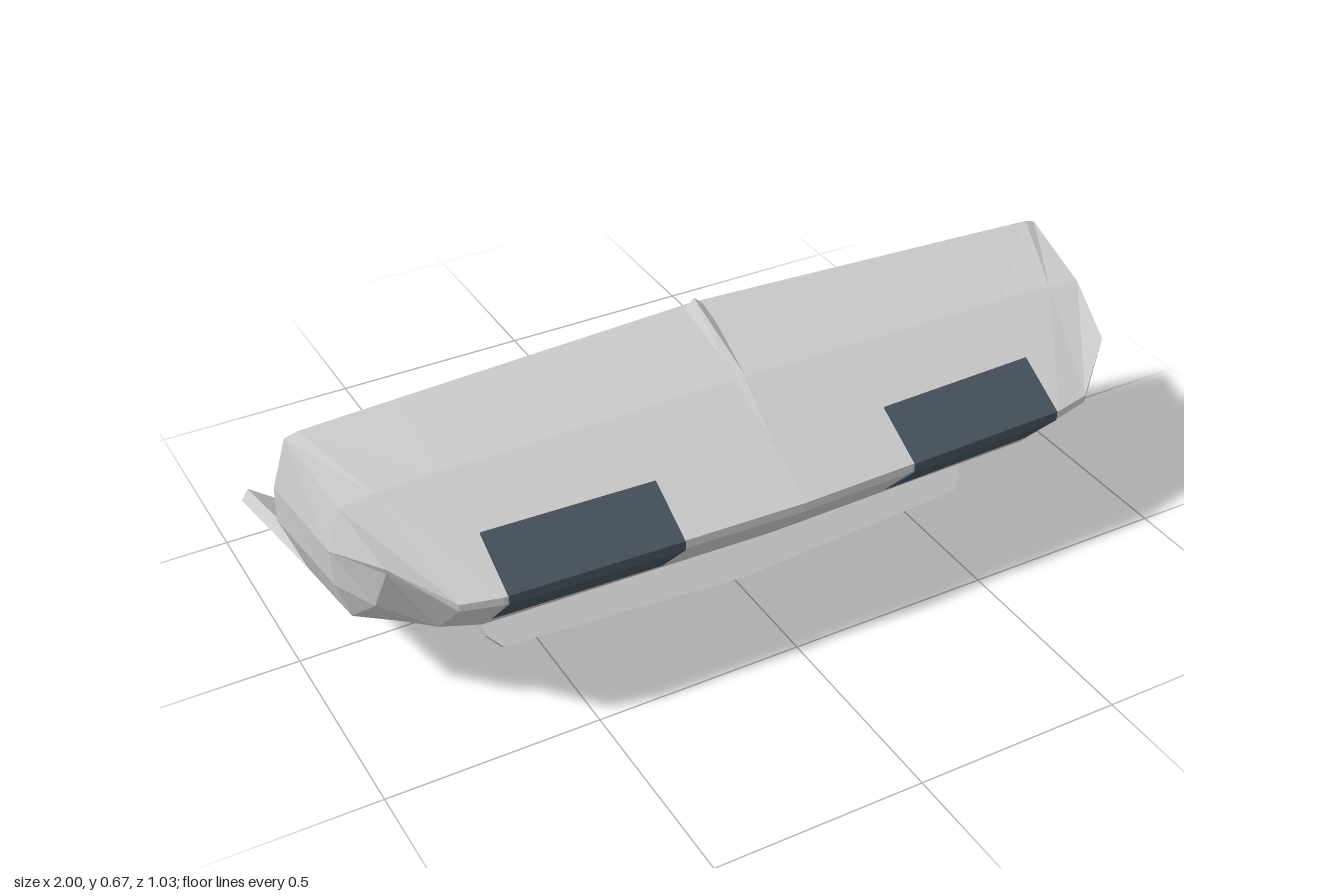
import * as THREE from 'three';
import { mergeVertices } from 'three/addons/utils/BufferGeometryUtils.js';

const grey = new THREE.MeshStandardMaterial({ color: 0xcccccc, flatShading: true, side: THREE.DoubleSide });
const glass = new THREE.MeshStandardMaterial({ color: 0x45515d, flatShading: true });

function geometry(points, index) {
  const g = new THREE.BufferGeometry();
  g.setAttribute('position', new THREE.Float32BufferAttribute(points.flat(), 3));
  g.setIndex(index);
  g.computeVertexNormals();
  return g;
}

// Turns an open surface into a wall: inner skin plus strips along all open edges
function thicken(surface, t) {
  surface.deleteAttribute('normal');
  const g = mergeVertices(surface, 1e-4);
  const raw = [...g.index.array], idx = [];
  for (let i = 0; i < raw.length; i += 3) {
    const [a, b, c] = raw.slice(i, i + 3);
    if (a !== b && b !== c && c !== a) idx.push(a, b, c);
  }
  g.setIndex(idx);
  g.computeVertexNormals();
  const p = g.attributes.position, n = g.attributes.normal, count = p.count;
  const outer = [], inner = [], edges = new Set(), all = [...idx];
  for (let i = 0; i < count; i++) {
    const v = new THREE.Vector3().fromBufferAttribute(p, i);
    outer.push(v.toArray());
    inner.push(v.addScaledVector(new THREE.Vector3().fromBufferAttribute(n, i), -t).toArray());
  }
  for (let i = 0; i < idx.length; i += 3) {
    const f = idx.slice(i, i + 3);
    all.push(f[0] + count, f[2] + count, f[1] + count);
    for (let k = 0; k < 3; k++) edges.add(f[k] + '_' + f[(k + 1) % 3]);
  }
  for (const e of edges) {
    const [a, b] = e.split('_').map(Number);
    if (!edges.has(b + '_' + a)) all.push(b, a, a + count, b, a + count, b + count);
  }
  return geometry([...outer, ...inner], all);
}

const mix = (a, b, t) => a.map((v, i) => v + (b[i] - v) * t);

// Half-shell columns from the middle to the side; points run from rear flap, under the nose, to the top rim
const middle = [[0, .004, -.515], [0, .083, -.08], [0, .155, .2], [0, .25, .38], [0, .393, .512], [0, .415, .512], [0, .575, .23], [0, .655, .01]];
const outerFront = [[.69, .004, -.515], [.69, .086, -.08], [.69, .16, .19], [.7, .25, .36], [.7, .39, .485], [.7, .41, .485], [.72, .56, .215], [.72, .625, .01]];
const corner = [[.86, .035, -.515], [.84, .115, -.07], [.82, .185, .19], [.79, .265, .34], [.79, .395, .465], [.79, .412, .465], [.86, .555, .215], [.94, .612, .005]];
const sideFront = [[.945, .1, -.515], [.935, .2, -.06], [.93, .25, .2], [.91, .34, .3], [.9, .46, .36], [.905, .482, .37], [.94, .55, .22], [.97, .6, 0]];
const sideMid = [sideFront[0], sideFront[1], sideFront[2], [.965, .36, .22], [.97, .45, .22], [.97, .45, .22], sideFront[6], sideFront[7]];
const sideRear = [sideFront[0], sideFront[1], sideFront[1], [1, .38, -.03], [1, .47, -.02], [1, .47, -.02], sideFront[7], sideFront[7]];
const between = t => middle.map((p, i) => mix(p, outerFront[i], t));
const half = [middle, between(.17 / .69), between(.4 / .69), outerFront, corner, sideFront, sideMid, sideRear]
  .map(c => [...c.slice(0, 3), mix(c[2], c[3], .6), ...c.slice(3)]);
half[1][3][0] = .2;   // tapered vent openings
half[2][3][0] = .375;

function shellSurface() {
  const flip = c => c.map(([x, y, z]) => [-x, y, z]);
  const cols = [...half.slice(1).reverse().map(flip), ...half];
  const rows = cols[0].length, idx = [], mid = half.length - 1;
  for (let c = 0; c < cols.length - 1; c++) for (let r = 0; r < rows - 1; r++) {
    if (r === 2 && (c === mid + 1 || c === mid - 2)) continue; // vent opening
    const a = c * rows + r, b = a + rows;
    // mirrored diagonal on the right half
    if (c >= mid) idx.push(a, b, b + 1, a, b + 1, a + 1);
    else idx.push(a, b, a + 1, b, b + 1, a + 1);
  }
  return geometry(cols.flat(), idx);
}

// Scoop closing a vent opening from the inside
function scoop(s) {
  const mouth = [half[1][2], half[2][2], half[2][3], half[1][3]].map(([x, y, z]) => [x * s, y, z]);
  const back = [[.21, .225, .2], [.36, .225, .2], [.35, .25, .255], [.22, .25, .255]].map(([x, y, z]) => [x * s, y, z]);
  const idx = [4, 5, 6, 4, 6, 7];
  for (let i = 0; i < 4; i++) {
    const j = (i + 1) % 4;
    idx.push(i, j, j + 4, i, j + 4, i + 4);
  }
  return geometry([...mouth, ...back], idx);
}

// Lamp wrapping the nose; it follows the sweep of the front
function lamp(s) {
  const outline = [[.385, .49], [.516, .415], [.516, .392], [.411, .279], [.385, .3], [.37, .46]];
  const g = new THREE.ExtrudeGeometry(new THREE.Shape(outline.map(p => new THREE.Vector2(...p))), { depth: .4, bevelEnabled: false });
  g.rotateY(-Math.PI / 2);
  g.translate(s > 0 ? .69 : -.29, 0, 0);
  const p = g.attributes.position;
  for (let i = 0; i < p.count; i++) p.setZ(i, p.getZ(i) - .036 * Math.abs(p.getX(i)));
  g.computeVertexNormals();
  return g;
}

// Tapered crest on the centre line: z, ridge height, base height, half width
function crest() {
  const sections = [[.375, .497, .49, .002], [.25, .595, .555, .016], [.02, .672, .64, .035], [-.025, .6, .59, .035]];
  const pts = sections.flatMap(([z, top, base, w]) => [[-w, base, z], [0, top, z], [w, base, z]]);
  const idx = [9, 10, 11, 0, 2, 1];
  for (let s = 0; s < 3; s++) for (let k = 0; k < 3; k++) {
    const a = s * 3 + k, b = s * 3 + (k + 1) % 3;
    idx.push(a, b, b + 3, a, b + 3, a + 3);
  }
  return geometry(pts, idx);
}

// Slanted blade under the nose
function blade() {
  const right = [[.65, .015], [.655, -.02], [.635, -.09], [.605, -.125]];
  const outline = [...right, [.33, -.138], [0, -.155], [-.33, -.138], ...right.map(([x, y]) => [-x, y]).reverse()];
  const g = new THREE.ExtrudeGeometry(new THREE.Shape(outline.map(p => new THREE.Vector2(...p))), { depth: .02, bevelEnabled: false });
  g.rotateX(-.69);
  g.translate(0, .147, .148);
  return g;
}

export function createModel() {
  const model = new THREE.Group();
  model.name = 'frontShell';
  const add = (name, g, material = grey) => {
    const m = new THREE.Mesh(g, material);
    m.name = name;
    model.add(m);
    return m;
  };
  add('shell', thicken(shellSurface(), .032));
  add('crest', crest());
  add('blade', blade());
  for (const [side, s] of [['left', 1], ['right', -1]]) {
    add(side + 'Lamp', lamp(s), glass);
    add(side + 'VentScoop', scoop(s));
    // Lamp housing inside the shell
    add(side + 'LampHousing', new THREE.BoxGeometry(.4, .15, .06)).position.set(s * .49, .385, .36);
  }
  return model;
}
